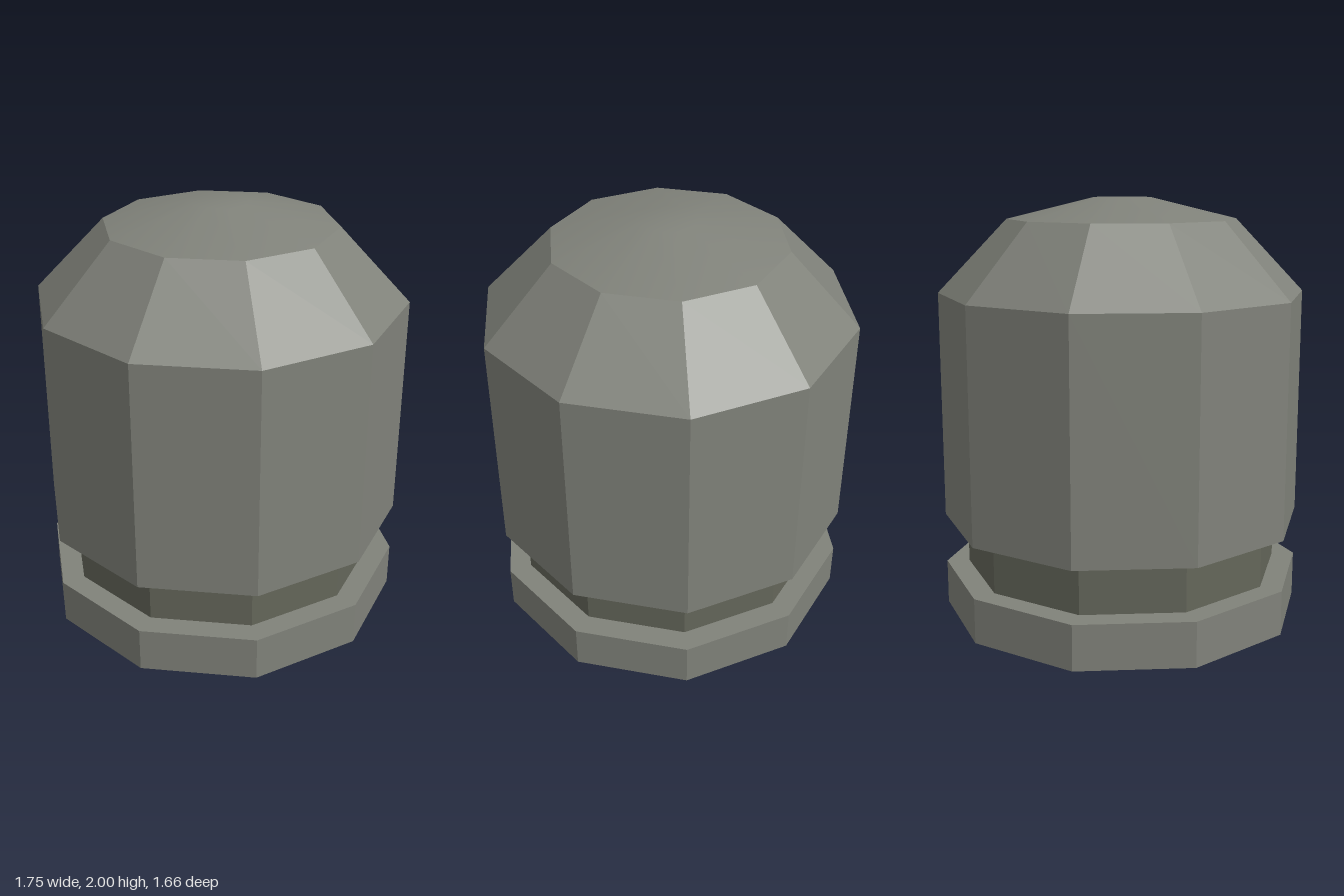
import * as THREE from 'three';
import { toCreasedNormals } from 'three/addons/utils/BufferGeometryUtils.js';

const SIDES = 10;
const CREASE = 0.35; // keeps the wall facets sharp, blends the shallow cap

// Ten-sided turned part with a corner on the x axis; profile is [radius, y], bottom to top
function turned(name, profile, material) {
  const points = profile.map(([r, y]) => new THREE.Vector2(r, y));
  const geometry = new THREE.LatheGeometry(points, SIDES, Math.PI / 2);
  const mesh = new THREE.Mesh(toCreasedNormals(geometry, CREASE), material);
  mesh.name = name;
  return mesh;
}

export function createModel() {
  const group = new THREE.Group();
  group.name = 'domedPost';
  const shell = new THREE.MeshStandardMaterial({ color: 0x80827a });
  const dark = new THREE.MeshStandardMaterial({ color: 0x64665a });
  const R = 0.875;

  // Flat foot disc
  group.add(turned('base', [[0, 0], [R, 0], [R, 0.215], [0, 0.215]], shell));

  // Recessed groove between foot and body
  group.add(turned('neck', [[0.765, 0.215], [0.765, 0.46]], dark));

  // Straight body closed by a stepped dome
  group.add(turned('domedBody', [
    [0, 0.46], [R, 0.46], [R, 1.555], [0.545, 1.9], [0.135, 2], [0, 2],
  ], shell));

  return group;
}
